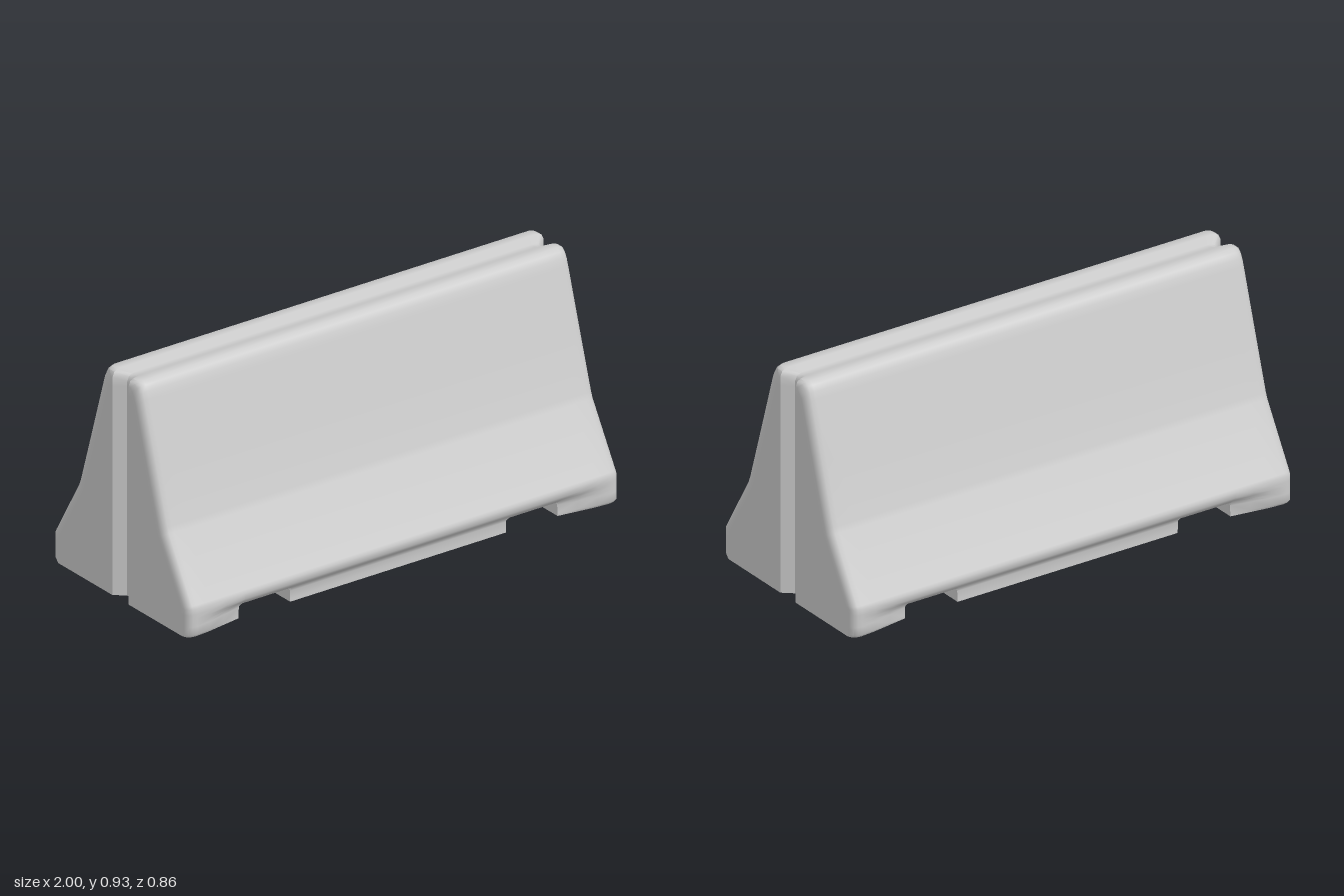
import * as THREE from 'three';
import { toCreasedNormals } from 'three/addons/utils/BufferGeometryUtils.js';

// Half outline of the barrier, bottom to top: [height, half width, undercut along the foot]
const ROWS = [
  [0, 0.42, 0.03], [0.012, 0.43, 0.04], [0.045, 0.43, 0.04], [0.06, 0.43, 0.035], [0.078, 0.43, 0.014],
  [0.095, 0.43, 0], [0.118, 0.43, 0], [0.13, 0.424, 0], [0.375, 0.28, 0], [0.4, 0.27, 0],
  [0.64, 0.196, 0], [0.87, 0.126, 0], [0.897, 0.117, 0], [0.92, 0.105, 0],
];

// Half of the stations along the length: [x, rounding inset, groove share, underside height]
const HALF = [
  [1, 0.03, 1, 0], [0.991, 0.01, 1, 0], [0.978, 0.003, 1, 0], [0.96, 0, 1, 0], [0.9, 0, 0, 0],
  [0.82, 0, 0, 0], [0.74, 0, 0, 0], [0.738, 0, 0, 0.05], [0.726, 0, 0, 0.06],
  [0.514, 0, 0, 0.06], [0.502, 0, 0, 0.05], [0.5, 0, 0, 0],
];
const STATIONS = [
  ...HALF.map(([x, ...rest]) => [-x, ...rest]),
  ...HALF.slice().reverse(),
];

const COLUMNS = 8; // across the width, four per side
const TOP = ROWS.length - 1;

// Point of the lattice at station i, row j, column k
function point(i, j, k) {
  const [x, inset, groove, floor] = STATIONS[i];
  const [rowY, rowW, cut] = ROWS[j];
  const side = k < COLUMNS / 2 ? -1 : 1;
  const c = k < COLUMNS / 2 ? k : COLUMNS - 1 - k; // 0 = outer edge, 3 = beside the middle

  // the foot is undercut between the ends
  const under = THREE.MathUtils.clamp((0.93 - Math.abs(x)) / 0.19, 0, 1);
  const w = rowW - cut * under - inset;
  const z = [w, w - 0.015, 0.05, 0.014][c];

  let y = Math.max(rowY, floor);
  if (j === TOP) y = [0.92, 0.933, 0.933, 0.917][c]; // groove along the top
  y *= 1 - inset / 0.93;

  // vertical groove down each end
  const px = x - Math.sign(x) * (c === 3 ? 0.042 * groove : 0);
  return new THREE.Vector3(px, y, side * z);
}

// Adds one face of the lattice as triangles, leaving out collapsed ones
function addFace(out, nu, nv, at, flip) {
  const tri = new THREE.Triangle();
  const add = (a, b, c) => {
    tri.set(a, flip ? c : b, flip ? b : c);
    if (tri.getArea() < 1e-8) return;
    for (const p of [tri.a, tri.b, tri.c]) out.push(p.x, p.y, p.z);
  };
  for (let u = 0; u < nu - 1; u++) {
    for (let v = 0; v < nv - 1; v++) {
      const a = at(u, v), b = at(u + 1, v), c = at(u + 1, v + 1), d = at(u, v + 1);
      add(a, b, c);
      add(a, c, d);
    }
  }
}

export function createModel() {
  const ni = STATIONS.length, nj = ROWS.length, nk = COLUMNS;
  const positions = [];

  // long sides
  addFace(positions, ni, nj, (i, j) => point(i, j, nk - 1), false);
  addFace(positions, ni, nj, (i, j) => point(i, j, 0), true);
  // grooved ends
  addFace(positions, nj, nk, (j, k) => point(ni - 1, j, k), false);
  addFace(positions, nj, nk, (j, k) => point(0, j, k), true);
  // grooved top and slotted underside
  addFace(positions, nk, ni, (k, i) => point(i, TOP, k), false);
  addFace(positions, nk, ni, (k, i) => point(i, 0, k), true);

  const geometry = new THREE.BufferGeometry();
  geometry.setAttribute('position', new THREE.Float32BufferAttribute(positions, 3));

  const barrier = new THREE.Mesh(
    toCreasedNormals(geometry, 0.8),
    new THREE.MeshStandardMaterial({ color: 0xcccccc }),
  );
  barrier.name = 'barrierBody';

  const group = new THREE.Group();
  group.name = 'roadBarrier';
  group.add(barrier);
  return group;
}
